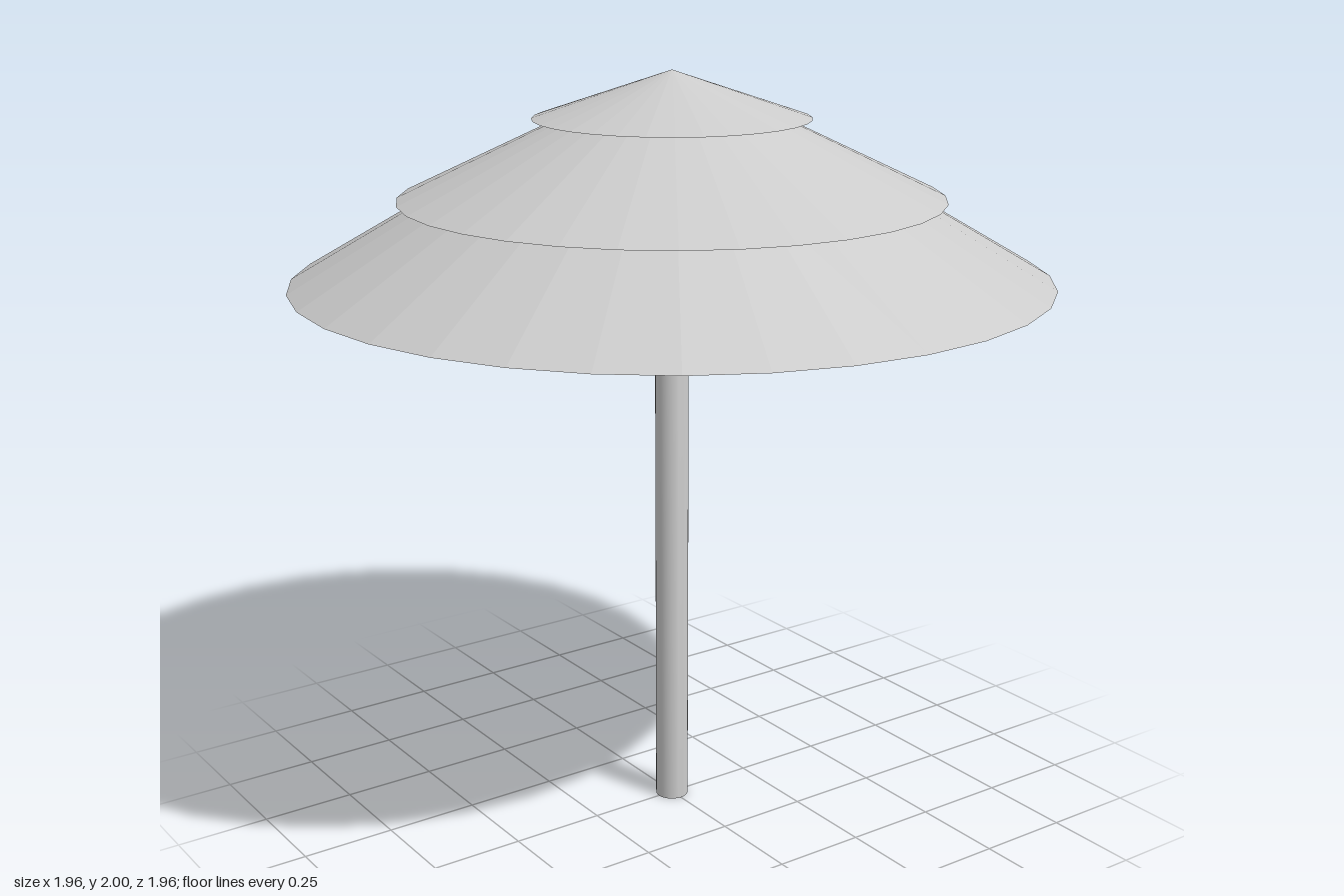
import * as THREE from 'three';
import { toCreasedNormals } from 'three/addons/utils/BufferGeometryUtils.js';

const SIDES = 32;

// Turns a closed [radius, height] profile, listed from the underside's centre outward and up.
function turned(name, profile, faceted) {
  const points = profile.map(([r, y]) => new THREE.Vector2(r, y));
  let geometry = new THREE.LatheGeometry(points, SIDES);
  if (!faceted) geometry = toCreasedNormals(geometry, Math.PI / 6);
  const material = new THREE.MeshStandardMaterial({ color: 0xcccccc, flatShading: faceted });
  const mesh = new THREE.Mesh(geometry, material);
  mesh.name = name;
  return mesh;
}

export function createModel() {
  const model = new THREE.Group();
  model.name = 'parasol';

  // Straight pole that narrows where it meets the ceiling
  model.add(turned('pole', [[0, 0], [0.044, 0], [0.044, 1.6], [0.031, 1.72], [0, 1.72]], false));

  // Lowest tier: hollow, with a flat rim and a flat ceiling
  model.add(turned('lowerCanopy', [
    [0, 1.71], [0.485, 1.71], [0.87, 1.47], [0.98, 1.47], [0.5, 1.75], [0, 1.75],
  ], true));

  // Middle tier: overhangs the lowest one
  model.add(turned('middleCanopy', [
    [0, 1.72], [0.54, 1.72], [0.6, 1.68], [0.7, 1.68], [0.2, 1.918], [0, 1.918],
  ], true));

  // Pointed cap
  model.add(turned('topCap', [[0, 1.88], [0.355, 1.88], [0, 2]], true));

  return model;
}
